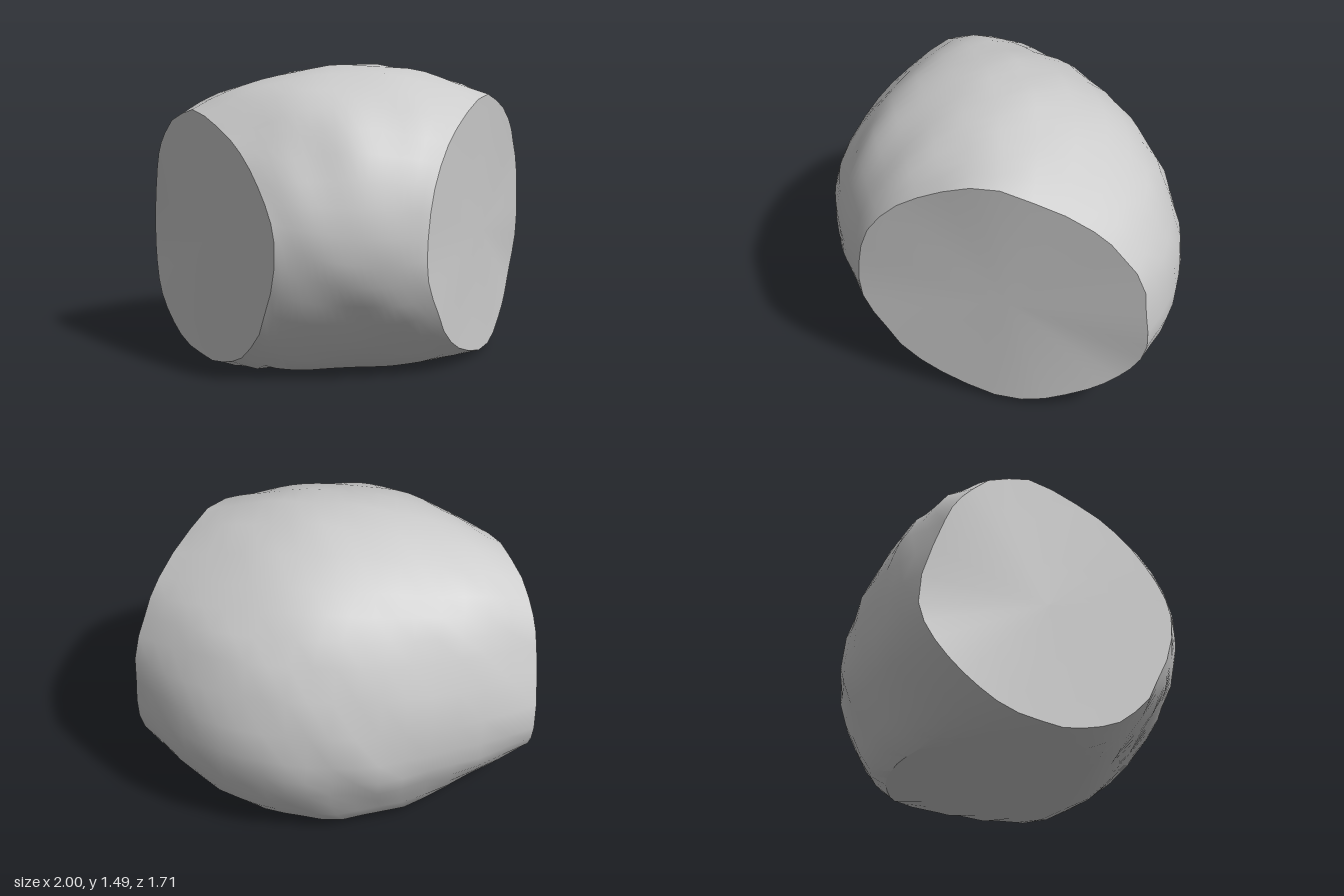
import * as THREE from 'three';
import { toCreasedNormals } from 'three/addons/utils/BufferGeometryUtils.js';

const COLS = 18, RING = 36;
const ring = (pts) => pts.map((p) => new THREE.Vector3(...p));

// Outlines [x, y, z], each running front, top, back, bottom
const rightCut = ring([
  [-0.42, 0.72, 0.81], [-0.49, 0.96, 0.68], [-0.61, 1.16, 0.45], [-0.79, 1.28, 0.1],
  [-0.935, 1.13, -0.17], [-0.98, 0.93, -0.29], [-1, 0.5, -0.4], [-0.97, 0.25, -0.27],
  [-0.87, 0.08, -0.05], [-0.71, 0.02, 0.25], [-0.57, 0.1, 0.52], [-0.465, 0.36, 0.72],
]);
const middle = ring([
  [-0.1, 0.62, 0.855], [-0.08, 1, 0.79], [-0.06, 1.32, 0.53], [-0.02, 1.485, 0.06],
  [0, 1.345, -0.46], [0.08, 1.08, -0.715], [0.1, 0.58, -0.86], [0.1, 0.25, -0.78],
  [0.02, -0.02, -0.6], [-0.02, -0.12, -0.05], [-0.05, -0.02, 0.39], [-0.08, 0.3, 0.73],
]);
const leftCut = ring([
  [0.285, 0.62, 0.82], [0.33, 0.95, 0.76], [0.47, 1.21, 0.54], [0.69, 1.335, 0.2],
  [0.885, 1.18, -0.19], [0.97, 0.96, -0.38], [1, 0.6, -0.45], [0.95, 0.33, -0.39],
  [0.87, 0.16, -0.2], [0.73, 0.03, 0.1], [0.51, 0.1, 0.46], [0.36, 0.34, 0.71],
]);

// Flat facet on the right half of the back
const facet = new THREE.Plane(new THREE.Vector3(-0.43, 0, -0.9).normalize(), -0.825);

// Irregular lumps of the stone surface
function lump({ x, y, z }) {
  return 0.006 * Math.sin(6.1 * x + 4.3 * y + 1.2) * Math.cos(5.2 * z - 3.7 * y)
    + 0.006 * Math.sin(11.3 * x - 7.9 * z + 2.1) * Math.sin(10.7 * y + 0.6)
    + 0.007 * Math.sin(17 * z + 13 * y) * Math.cos(15 * x + 0.8);
}

// Cross-section at t, on a parabola through the three outlines
function section(t) {
  const r = (1 - t) * (1 - 2 * t), m = 4 * t * (1 - t), l = t * (2 * t - 1);
  const outline = middle.map((p, i) => p.clone().multiplyScalar(m)
    .addScaledVector(rightCut[i], r).addScaledVector(leftCut[i], l));
  const center = outline.reduce((sum, p) => sum.add(p), new THREE.Vector3()).divideScalar(outline.length);
  const points = new THREE.CatmullRomCurve3(outline, true).getPoints(RING).slice(0, RING);
  for (const p of points) {
    const over = Math.max(0, facet.distanceToPoint(p));
    p.addScaledVector(facet.normal, -over);
    p.addScaledVector(p.clone().sub(center).normalize(), lump(p));
    p.y = Math.max(0, p.y);
  }
  return { points, center };
}

export function createModel() {
  const vertices = [], index = [];

  // Lumpy shell lofted between the two cut faces
  for (let i = 0; i <= COLS; i++) vertices.push(...section(i / COLS).points);
  const id = (i, j) => i * RING + (j % RING);
  for (let i = 0; i < COLS; i++) {
    for (let j = 0; j < RING; j++) {
      index.push(id(i, j), id(i + 1, j), id(i, j + 1));
      index.push(id(i + 1, j), id(i + 1, j + 1), id(i, j + 1));
    }
  }

  // Nearly flat cut faces
  for (const end of [0, COLS]) {
    const hub = vertices.push(section(end / COLS).center) - 1;
    for (let j = 0; j < RING; j++) {
      if (end === 0) index.push(hub, id(end, j), id(end, j + 1));
      else index.push(hub, id(end, j + 1), id(end, j));
    }
  }

  const geometry = new THREE.BufferGeometry().setFromPoints(vertices);
  geometry.setIndex(index);

  const rock = new THREE.Mesh(
    toCreasedNormals(geometry, 0.6),
    new THREE.MeshStandardMaterial({ color: 0xcccccc }),
  );
  rock.name = 'rock';
  const group = new THREE.Group();
  group.name = 'cutBoulder';
  group.add(rock);
  return group;
}
